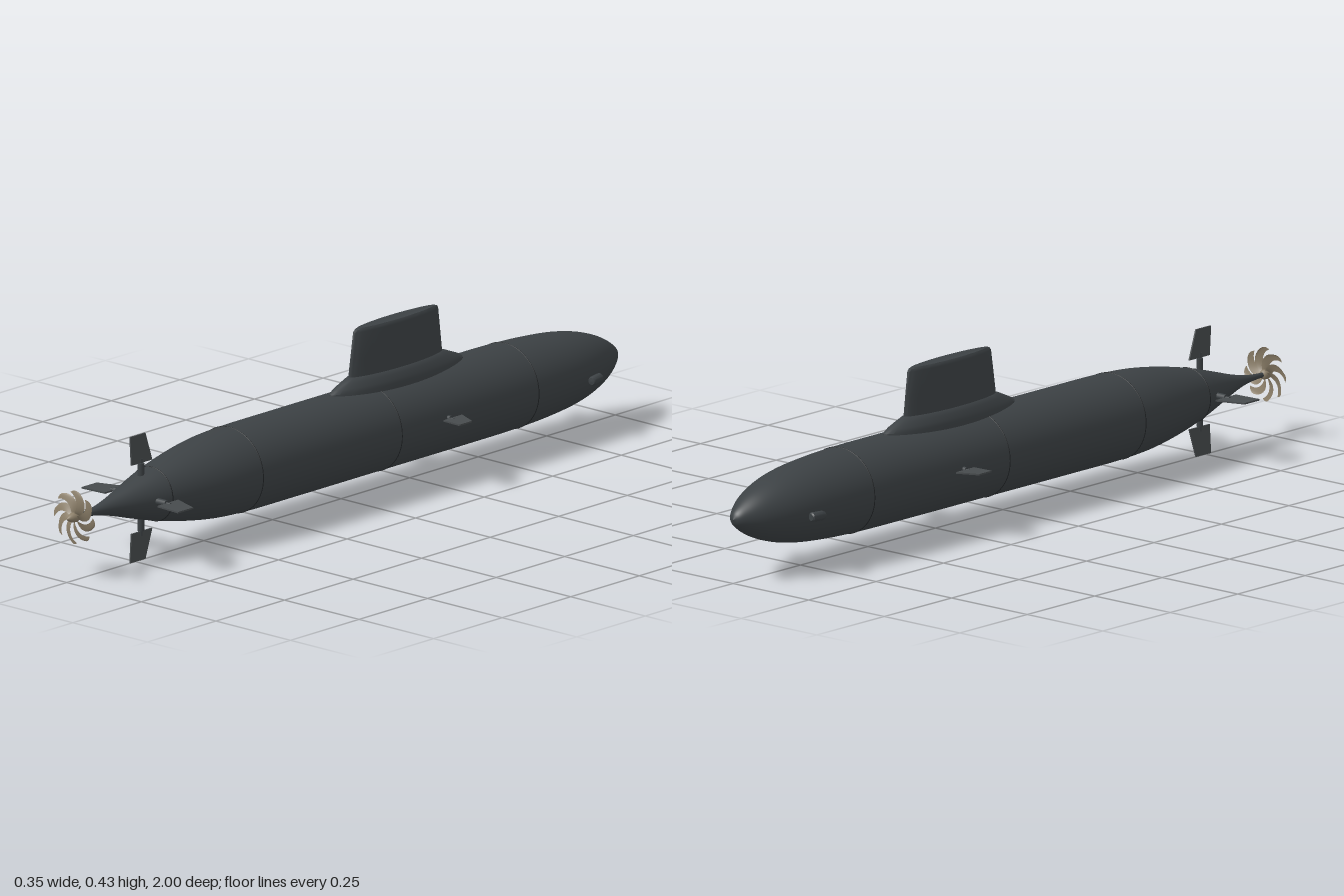
import * as THREE from 'three';
import { toCreasedNormals } from 'three/addons/utils/BufferGeometryUtils.js';

const AXIS = 0.16; // height of the hull centreline
const dark = new THREE.MeshStandardMaterial({ color: 0x3c4144 });
const finGrey = new THREE.MeshStandardMaterial({ color: 0x474b4d });
const seamBlack = new THREE.MeshStandardMaterial({ color: 0x1c1f21 });
const bronze = new THREE.MeshStandardMaterial({ color: 0x8c7f69, side: THREE.DoubleSide });

function add(parent, name, geometry, material) {
  const mesh = new THREE.Mesh(geometry, material);
  mesh.name = name;
  parent.add(mesh);
  return mesh;
}

// Body of revolution about z from [z, radius] pairs, bow first
function lathed(points, segments = 64) {
  const pts = points.map(([z, r]) => new THREE.Vector2(r, z));
  return new THREE.LatheGeometry(pts, segments).rotateX(Math.PI / 2);
}

// Stack of lens-shaped rings: [y, half width, bow z, stern z], lowest first
function loftedFoil(rings, n = 48) {
  const pos = [], index = [];
  for (const [y, w, z0, z1] of rings) {
    for (let i = 0; i < n; i++) {
      const t = (i / n) * Math.PI * 2, s = Math.sin(t);
      pos.push(w * Math.sign(s) * Math.abs(s) ** 1.15, y, (z0 + z1) / 2 + ((z1 - z0) / 2) * Math.cos(t));
    }
  }
  for (let j = 0; j < rings.length - 1; j++) {
    for (let i = 0; i < n; i++) {
      const k = (i + 1) % n, a = j * n + i, b = j * n + k;
      index.push(a, b, b + n, a, b + n, a + n);
    }
  }
  const g = new THREE.BufferGeometry();
  g.setAttribute('position', new THREE.Float32BufferAttribute(pos, 3));
  g.setIndex(index);
  return toCreasedNormals(g, 0.6);
}

// Flat fin lying in the xz plane, from [x, z] corners
function finGeometry(corners, thickness) {
  const shape = new THREE.Shape(corners.map(([x, z]) => new THREE.Vector2(x, z)));
  return new THREE.ExtrudeGeometry(shape, { depth: thickness, bevelEnabled: false })
    .translate(0, 0, -thickness / 2).rotateX(Math.PI / 2);
}

// Rod along x between two distances
function rod(x0, x1, r, z) {
  return new THREE.CylinderGeometry(r, r, x1 - x0, 16).rotateZ(Math.PI / 2).translate((x0 + x1) / 2, 0, z);
}

// One swept, pitched propeller blade
function bladeGeometry() {
  const g = new THREE.PlaneGeometry(1, 1, 6, 12), p = g.attributes.position;
  for (let i = 0; i < p.count; i++) {
    const u = p.getX(i) * 2, s = p.getY(i) + 0.5;
    const r = 0.009 + 0.06 * s - 0.004 * s * u * u;
    const half = 0.0045 + 0.0085 * Math.sin(Math.min(1, s * 1.15) * 1.6);
    const angle = 0.75 * s * s + (u * half) / Math.max(r, 0.012);
    p.setXYZ(i, r * Math.cos(angle), r * Math.sin(angle), u * 0.005 * (1 - 0.4 * s));
  }
  g.computeVertexNormals();
  return g;
}

export function createModel() {
  const model = new THREE.Group();
  model.name = 'submarine';
  const body = new THREE.Group();
  body.name = 'body';
  body.position.y = AXIS;
  model.add(body);

  // Hull: rounded bow, parallel middle, tapering stern
  const profile = [
    [-1, 0], [-0.992, 0.016], [-0.97, 0.034], [-0.93, 0.057], [-0.87, 0.079], [-0.8, 0.094], [-0.7, 0.104],
    [-0.58, 0.109], [-0.4, 0.11], [-0.1, 0.11], [0.2, 0.11], [0.4, 0.109], [0.5, 0.103], [0.6, 0.088],
    [0.7, 0.066], [0.78, 0.043], [0.85, 0.022], [0.9, 0.011], [0.94, 0.007], [0.98, 0.006],
  ];
  const curve = new THREE.CatmullRomCurve3(profile.map(([z, r]) => new THREE.Vector3(r, z, 0)), false, 'centripetal');
  const hullPoints = curve.getPoints(114).map((v) => [v.y, Math.max(0, v.x)]);
  add(body, 'hull', lathed(hullPoints), dark).scale.x = 1.03;

  // Thin section seams around the hull
  for (const [z, r] of [[-0.6, 0.1086], [-0.1, 0.11], [0.405, 0.1088], [0.69, 0.0686]]) {
    const seam = add(body, 'hullSeam', new THREE.TorusGeometry(r, 0.0014, 6, 64), seamBlack);
    seam.position.z = z;
    seam.scale.x = 1.03;
  }

  // Sail and the flared fairing at its foot
  add(model, 'sailFairing', loftedFoil([
    [0.25, 0.05, -0.445, 0.045], [0.273, 0.049, -0.44, 0.04], [0.282, 0.046, -0.425, 0.025],
    [0.294, 0.04, -0.395, -0.002], [0.302, 0.034, -0.375, -0.02], [0.305, 0.028, -0.36, -0.035],
    [0.305, 0.001, -0.2, -0.19],
  ]), dark);
  add(model, 'sail', loftedFoil([
    [0.29, 0.032, -0.368, -0.026], [0.35, 0.0275, -0.361, -0.035], [0.415, 0.023, -0.353, -0.045],
    [0.421, 0.0215, -0.349, -0.05], [0.424, 0.019, -0.34, -0.058], [0.424, 0.0002, -0.201, -0.199],
  ]), dark);

  // Four stern fins, each on a socket and a pin
  const sternFin = finGeometry([[0.088, 0.69], [0.162, 0.715], [0.162, 0.77], [0.088, 0.765]], 0.004);
  for (let i = 0; i < 4; i++) {
    const unit = new THREE.Group();
    unit.name = 'sternFinUnit';
    unit.rotation.z = (i * Math.PI) / 2;
    add(unit, 'finSocket', rod(0.04, 0.087, 0.0085, 0.73), dark);
    add(unit, 'finPin', rod(0.08, 0.1, 0.004, 0.73), dark);
    add(unit, 'sternFin', sternFin, finGrey);
    body.add(unit);
  }

  // Midship diving planes and bow pods on both sides
  const plane = finGeometry([[0.121, -0.31], [0.177, -0.285], [0.177, -0.24], [0.121, -0.242]], 0.004);
  for (const side of [-1, 1]) {
    const unit = new THREE.Group();
    unit.name = side > 0 ? 'leftPlaneUnit' : 'rightPlaneUnit';
    unit.position.y = 0.01;
    unit.rotation.z = side > 0 ? 0 : Math.PI;
    add(unit, 'planeSocket', rod(0.1, 0.121, 0.007, -0.27), dark);
    add(unit, 'planePin', rod(0.11, 0.13, 0.003, -0.27), dark);
    add(unit, 'divingPlane', plane, finGrey);
    body.add(unit);

    const pod = add(body, 'bowPod', lathed([
      [-0.022, 0], [-0.022, 0.009], [-0.019, 0.012], [0.012, 0.012], [0.019, 0.009], [0.022, 0],
    ], 20), dark);
    pod.geometry = toCreasedNormals(pod.geometry, 0.6);
    pod.position.set(side * 0.11, -0.008, -0.808);
    pod.rotation.y = side * 0.2;
  }

  // Propeller: hub with a pointed cap and eight swept blades
  const propeller = new THREE.Group();
  propeller.name = 'propeller';
  propeller.position.z = 0.972;
  body.add(propeller);
  add(propeller, 'propellerHub', lathed([
    [-0.012, 0], [-0.012, 0.009], [-0.005, 0.0125], [0.006, 0.0125], [0.015, 0.0095], [0.023, 0.005], [0.028, 0],
  ], 24), bronze);
  const blade = bladeGeometry();
  for (let i = 0; i < 8; i++) {
    add(propeller, 'propellerBlade', blade, bronze).rotation.z = (i * Math.PI) / 4;
  }
  return model;
}
